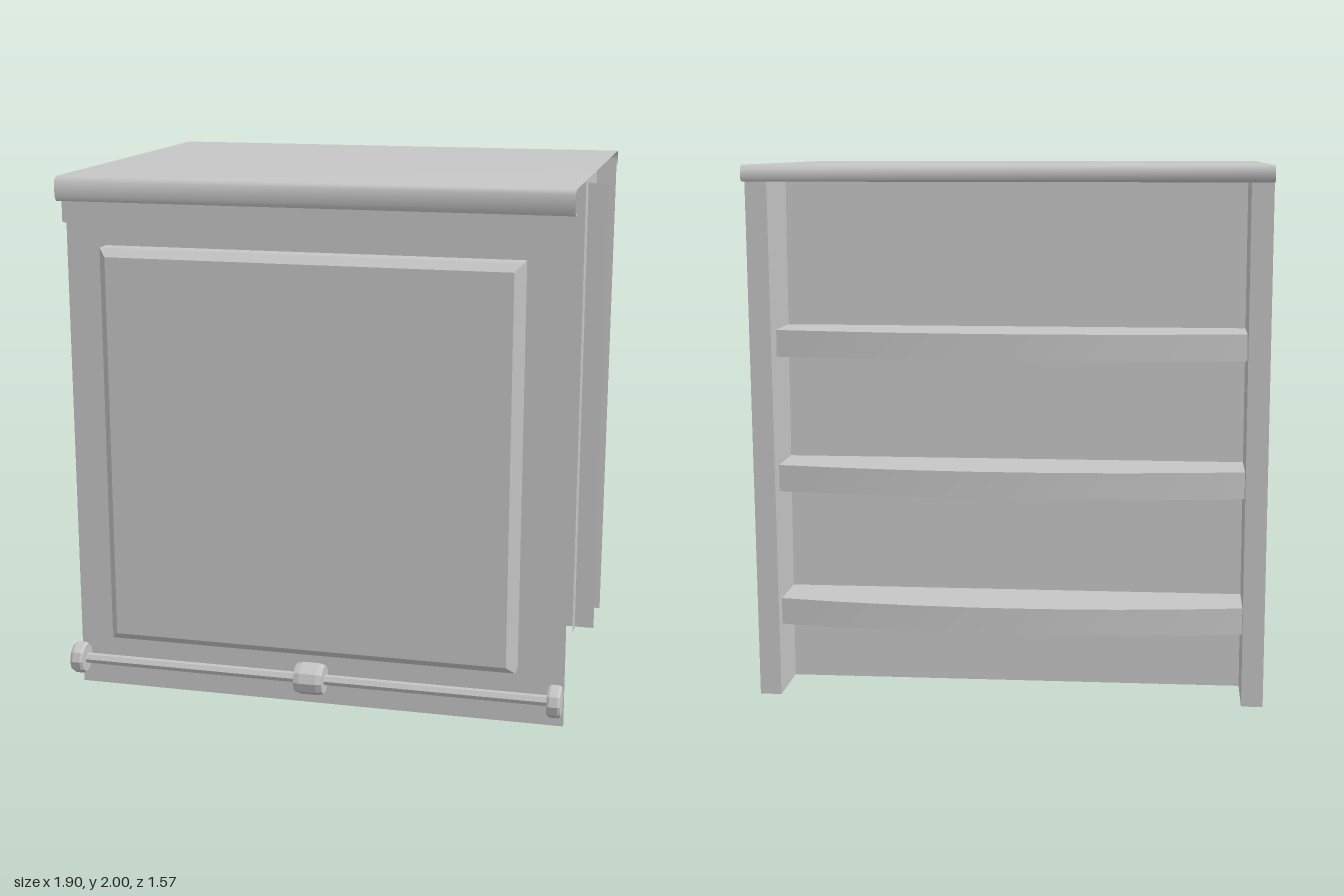
import * as THREE from 'three';

const steel = new THREE.MeshStandardMaterial({ color: 0xc6c6c6, side: THREE.DoubleSide });
steel.name = 'grey steel';

const W = 0.95;         // half width of the body
const WALL = 0.87;      // half width between the side channels
const TOP = 1.97;       // top of the back structure
const PANEL_Z = -0.405; // plane of the back panel and the front fins

function add(parent, name, geometry) {
  const mesh = new THREE.Mesh(geometry, steel);
  mesh.name = name;
  parent.add(mesh);
  return mesh;
}

// Sheet metal: joins rows of [x, y, z] points with quads
function skin(rows, smooth = false) {
  const n = rows[0].length, index = [];
  for (let r = 0; r < rows.length - 1; r++) {
    for (let i = 0; i < n - 1; i++) {
      const a = r * n + i, b = a + 1, c = a + n, d = c + 1;
      index.push(a, b, d, a, d, c);
    }
  }
  let g = new THREE.BufferGeometry();
  g.setAttribute('position', new THREE.Float32BufferAttribute(rows.flat(2), 3));
  g.setIndex(index);
  if (!smooth) g = g.toNonIndexed();
  g.computeVertexNormals();
  return g;
}

// Bent sheet spanning the width, from a [z, y] profile
const bent = (profile, smooth) =>
  skin(profile.map(([z, y]) => [[-W, y, z], [W, y, z]]).reverse(), smooth);

// Rectangular loop in a plane of constant z
const rectLoop = (x0, x1, y0, y1, z) =>
  [[x0, y0, z], [x1, y0, z], [x1, y1, z], [x0, y1, z], [x0, y0, z]];

// Depth of the leaning back edge at height y
const backZ = y => -0.657 - 0.067 * y / TOP;

function frontPanel() {
  const g = new THREE.Group();
  g.name = 'frontPanel';
  const x0 = -0.795, x1 = 0.775, y0 = 0.22, y1 = 1.74, b = 0.03, z = 0.647;

  // Sheet with an opening for the raised door
  const sheet = new THREE.Shape();
  sheet.moveTo(-W, 0).lineTo(W, 0).lineTo(W, 1.91).lineTo(-W, 1.91).closePath();
  const hole = new THREE.Path();
  hole.moveTo(x0, y0).lineTo(x0, y1).lineTo(x1, y1).lineTo(x1, y0).closePath();
  sheet.holes.push(hole);
  add(g, 'frontSheet', new THREE.ShapeGeometry(sheet)).position.z = z;

  // Raised door, hollow behind, with a bevelled rim
  add(g, 'doorRim', skin([
    rectLoop(x0, x1, y0, y1, z),
    rectLoop(x0, x1, y0, y1, z + 0.068),
    rectLoop(x0 + b, x1 - b, y0 + b, y1 - b, z + 0.098),
  ]));
  const face = new THREE.PlaneGeometry(x1 - x0 - 2 * b, y1 - y0 - 2 * b);
  add(g, 'doorFace', face).position.set((x0 + x1) / 2, (y0 + y1) / 2, z + 0.098);

  // Folded trim below the top
  add(g, 'upperTrim', bent([[0.735, 1.91], [0.685, 1.91], [0.685, 1.825], [z, 1.825]]));
  return g;
}

function handle() {
  const g = new THREE.Group();
  g.name = 'handle';
  g.position.set(0, 0.13, 0.725);
  const bar = new THREE.CylinderGeometry(0.02, 0.02, 1.84, 6).toNonIndexed();
  bar.computeVertexNormals();
  add(g, 'bar', bar.rotateZ(Math.PI / 2));

  // Faceted collars with bevelled rims, at the middle and both ends
  const collar = (name, x, half) => {
    const pts = [[0, -half], [0.054, -half], [0.06, -half * 0.6],
      [0.06, half * 0.6], [0.054, half], [0, half]].map(p => new THREE.Vector2(...p));
    const geo = new THREE.LatheGeometry(pts, 10).toNonIndexed();
    geo.computeVertexNormals();
    add(g, name, geo.rotateZ(-Math.PI / 2)).position.x = x;
  };
  collar('middleCollar', 0, 0.055);
  for (const s of [-1, 1]) collar(s > 0 ? 'leftCollar' : 'rightCollar', s * (W - 0.025), 0.025);

  // Mounting peg through the sheet
  const peg = new THREE.CylinderGeometry(0.014, 0.014, 0.06, 8).rotateX(Math.PI / 2);
  add(g, 'mountingPeg', peg).position.z = -0.06;
  return g;
}

function backUnit() {
  const g = new THREE.Group();
  g.name = 'backUnit';
  add(g, 'backPanel', new THREE.PlaneGeometry(2 * WALL, TOP)).position.set(0, TOP / 2, PANEL_Z);

  // Side walls reaching past the panel, with two outward fins each
  for (const s of [-1, 1]) {
    const side = s > 0 ? 'left' : 'right';
    const upright = (top, xa, za, xb, zb) => skin([0, top].map(y =>
      [[s * xa, y, za ?? backZ(y)], [s * xb, y, zb ?? backZ(y)]]));
    add(g, side + 'Wall', upright(TOP, WALL, -0.313, WALL, null));
    add(g, side + 'FrontFin', upright(1.9, WALL, PANEL_Z, W, PANEL_Z));
    add(g, side + 'BackFin', upright(TOP, WALL, null, W, null));
  }

  // Bowed shelves with a hanging apron; their right end passes through the wall
  const xs = [-W, -WALL, -0.65, -0.4, -0.13, 0.13, 0.4, 0.65, WALL];
  const edge = x => -0.60 - 0.09 * (1 - (x / W) ** 2);
  for (const y of [0.365, 0.88, 1.39]) {
    const front = xs.map(x => [x, y, edge(x)]);
    add(g, 'shelf', skin([front, xs.map(x => [x, y, PANEL_Z])].reverse()));
    add(g, 'shelfApron', skin([front, xs.map(x => [x, y - 0.1, edge(x)])], true));
  }
  return g;
}

export function createModel() {
  const model = new THREE.Group();
  model.name = 'cabinet';

  // Top sheet with rolled front and back lips
  add(model, 'topSheet', bent([
    [-0.765, 1.94], [-0.785, 1.95], [-0.785, 1.985], [-0.765, 2], [0.725, 2],
    [0.748, 1.985], [0.748, 1.93], [0.735, 1.91],
  ], true));
  model.add(frontPanel(), handle(), backUnit());
  return model;
}
